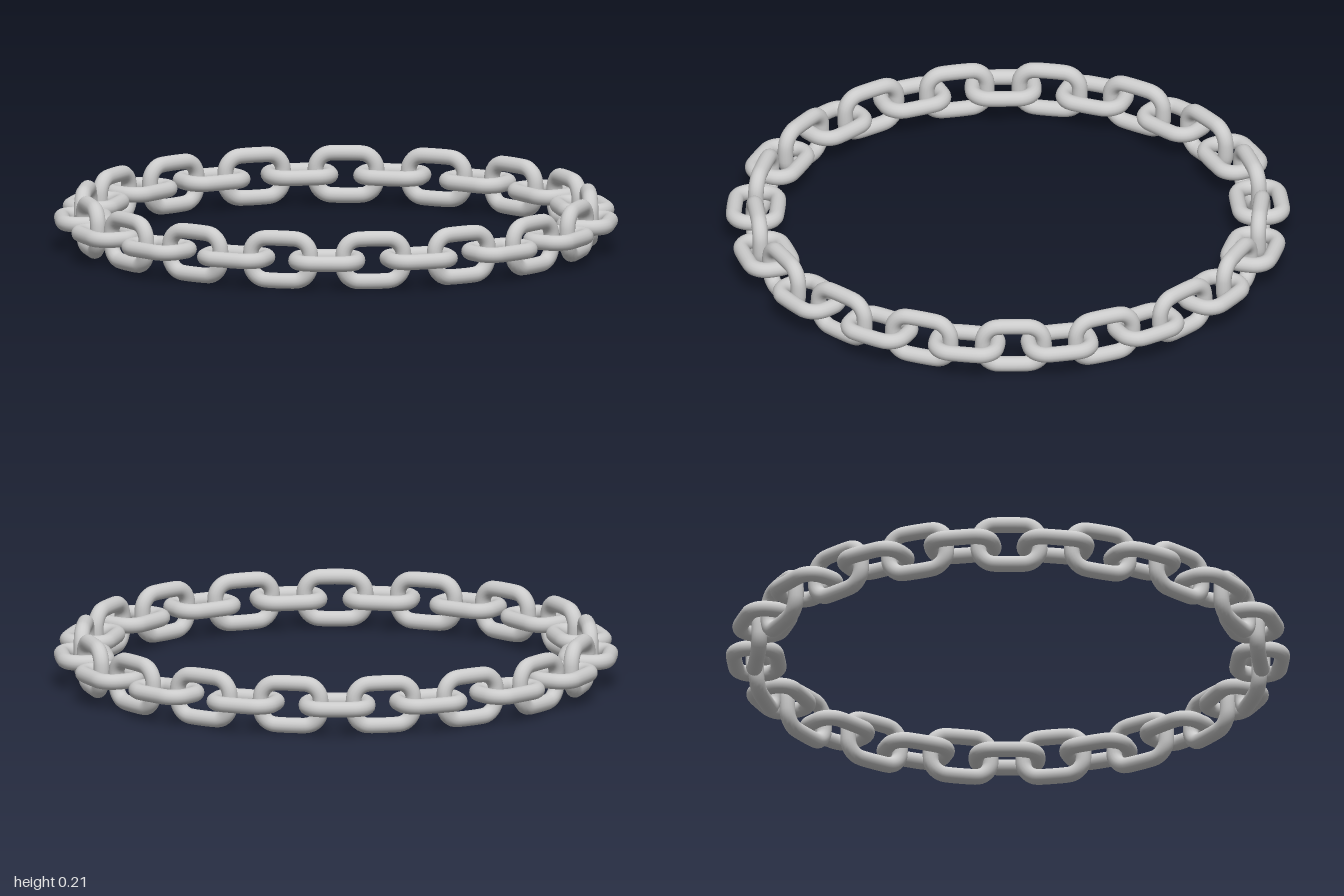
import * as THREE from 'three';

const LINKS = 34;          // alternating flat and upright links
const RING_RADIUS = 0.895; // link centres
const WIRE = 0.028;        // wire radius
const HALF_LENGTH = 0.108; // wire centreline, along the chain
const HALF_WIDTH = 0.0755; // wire centreline, across the chain
const CORNER = 0.058;      // bend radius of the centreline

// One closed link lying flat, its long side along x
function createLinkGeometry() {
  const dx = HALF_LENGTH - CORNER, dy = HALF_WIDTH - CORNER;
  const points = [];
  const corners = [[1, 1], [-1, 1], [-1, -1], [1, -1]];
  corners.forEach(([sx, sy], quarter) => {
    for (let i = 0; i <= 6; i++) {
      const a = (quarter + i / 6) * Math.PI / 2;
      points.push(new THREE.Vector3(
        sx * dx + CORNER * Math.cos(a), 0, sy * dy + CORNER * Math.sin(a)));
    }
  });
  const path = new THREE.CatmullRomCurve3(points, true, 'centripetal');
  return new THREE.TubeGeometry(path, 64, WIRE, 16, true);
}

export function createModel() {
  const chain = new THREE.Group();
  chain.name = 'chainRing';
  const material = new THREE.MeshStandardMaterial({ color: 0xcccccc });
  const geometry = createLinkGeometry();
  const start = THREE.MathUtils.degToRad(1.6);

  // Links follow the ring, every second one turned upright
  for (let i = 0; i < LINKS; i++) {
    const angle = start + i / LINKS * Math.PI * 2;
    const holder = new THREE.Group();
    holder.name = i % 2 ? 'uprightLink' : 'flatLink';
    holder.position.set(
      -RING_RADIUS * Math.sin(angle), HALF_WIDTH + WIRE, -RING_RADIUS * Math.cos(angle));
    holder.rotation.y = angle;
    const link = new THREE.Mesh(geometry, material);
    link.name = 'link';
    if (i % 2) link.rotation.x = Math.PI / 2;
    holder.add(link);
    chain.add(holder);
  }
  return chain;
}
